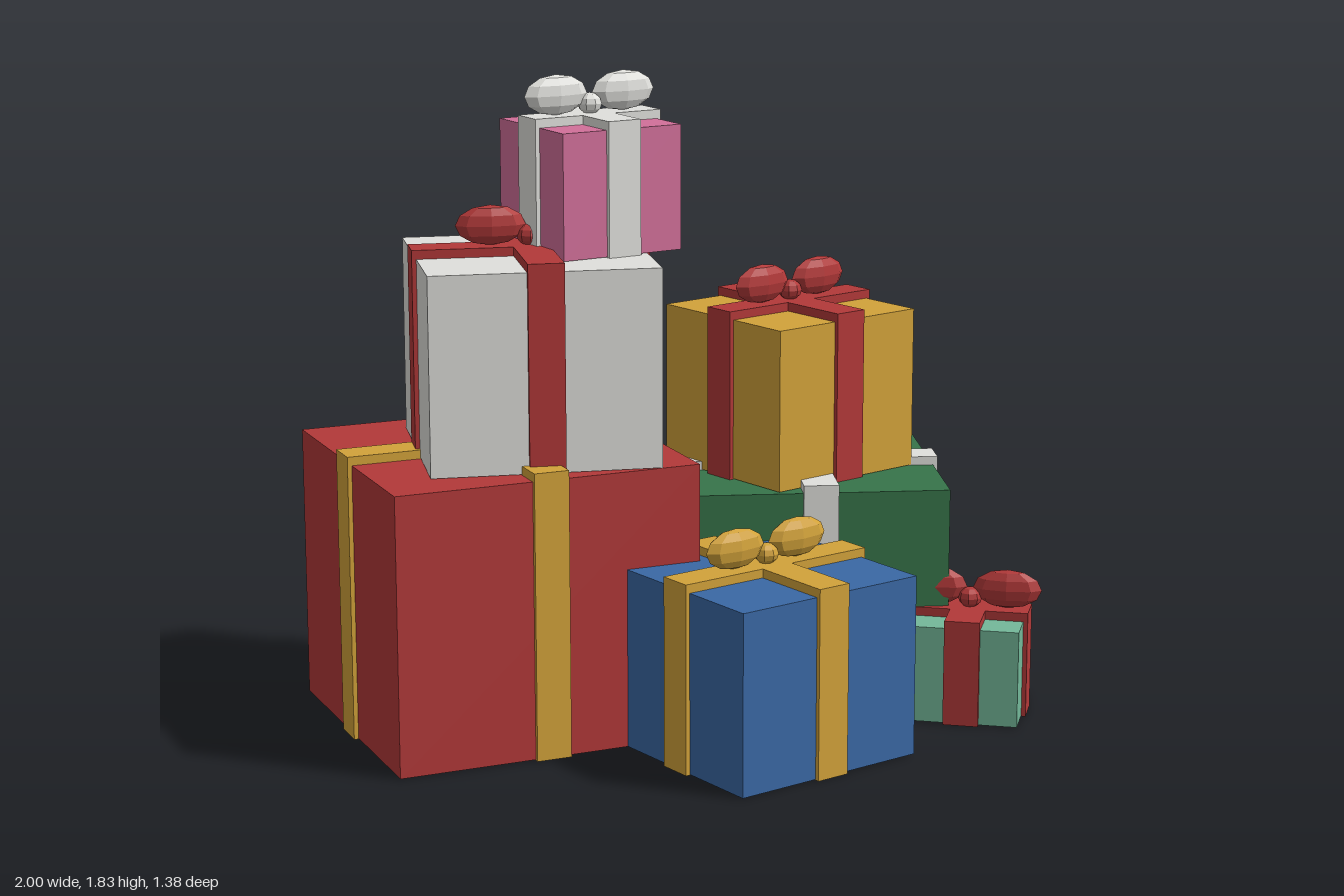
import * as THREE from 'three';

const paint = (name, color) => {
  const m = new THREE.MeshStandardMaterial({ color, flatShading: true });
  m.name = name;
  return m;
};

const RIBBON_WIDTH = 0.1;
const RIBBON_RISE = 0.025;

export function createModel() {
  const red = paint('red', 0xb23939);
  const white = paint('white', 0xe0e0dc);
  const pink = paint('pink', 0xd2709a);
  const gold = paint('gold', 0xd2a23a);
  const green = paint('green', 0x37744a);
  const blue = paint('blue', 0x3a68a4);
  const teal = paint('teal', 0x74b89a);

  // Unit ball whose poles are squashed vertically by each part's scale
  const ball = new THREE.SphereGeometry(1, 8, 6);

  const block = (name, w, h, d, material, y0) => {
    const mesh = new THREE.Mesh(new THREE.BoxGeometry(w, h, d), material);
    mesh.name = name;
    mesh.position.y = y0 + h / 2;
    return mesh;
  };

  const blob = (name, material, x, y, sx, sy, sz) => {
    const mesh = new THREE.Mesh(ball, material);
    mesh.name = name;
    mesh.position.set(x, y, 0);
    mesh.scale.set(sx, sy, sz);
    return mesh;
  };

  // Two loops and a knot, resting on the crossed ribbons
  const makeBow = (material) => {
    const bow = new THREE.Group();
    bow.name = 'bow';
    bow.add(blob('leftLoop', material, 0.106, 0.055, 0.098, 0.056, 0.032));
    bow.add(blob('rightLoop', material, -0.106, 0.055, 0.098, 0.056, 0.032));
    bow.add(blob('knot', material, 0, 0.025, 0.035, 0.03, 0.035));
    return bow;
  };

  // Wrapped box, two crossing ribbons and a bow
  const makeGift = ({ name, size: [w, h, d], at: [x, y, z], turn, wrap, ribbon }) => {
    const gift = new THREE.Group();
    gift.name = name;
    const lift = 0.002; // ribbons pass just beneath the box
    const tall = h + RIBBON_RISE;
    gift.add(block('box', w, h - lift, d, wrap, lift));
    gift.add(block('ribbonAcross', w + RIBBON_RISE, tall, RIBBON_WIDTH, ribbon, 0));
    gift.add(block('ribbonAlong', RIBBON_WIDTH, tall, d + RIBBON_RISE, ribbon, 0));
    const bow = makeBow(ribbon);
    bow.position.y = tall;
    gift.add(bow);
    gift.position.set(x, y, z);
    gift.rotation.y = turn;
    return gift;
  };

  const gifts = [
    { name: 'largeRedGift', size: [0.878, 0.785, 0.83], at: [-0.516, 0, -0.185], turn: 0.117, wrap: red, ribbon: gold },
    { name: 'whiteGift', size: [0.635, 0.555, 0.605], at: [-0.427, 0.785, -0.14], turn: -0.1, wrap: white, ribbon: red },
    { name: 'pinkGift', size: [0.37, 0.35, 0.362], at: [-0.24, 1.34, -0.182], turn: 0.25, wrap: pink, ribbon: white },
    { name: 'greenGift', size: [0.737, 0.645, 0.69], at: [0.43, 0, -0.275], turn: -0.204, wrap: green, ribbon: white },
    { name: 'goldGift', size: [0.508, 0.465, 0.505], at: [0.387, 0.645, -0.302], turn: 0.39, wrap: gold, ribbon: red },
    { name: 'blueGift', size: [0.593, 0.51, 0.568], at: [0.112, 0, 0.322], turn: 0.345, wrap: blue, ribbon: gold },
    { name: 'smallTealGift', size: [0.318, 0.28, 0.318], at: [0.782, 0, 0.15], turn: -0.51, wrap: teal, ribbon: red },
  ];

  const model = new THREE.Group();
  model.name = 'giftPile';
  for (const g of gifts) model.add(makeGift(g));
  return model;
}
